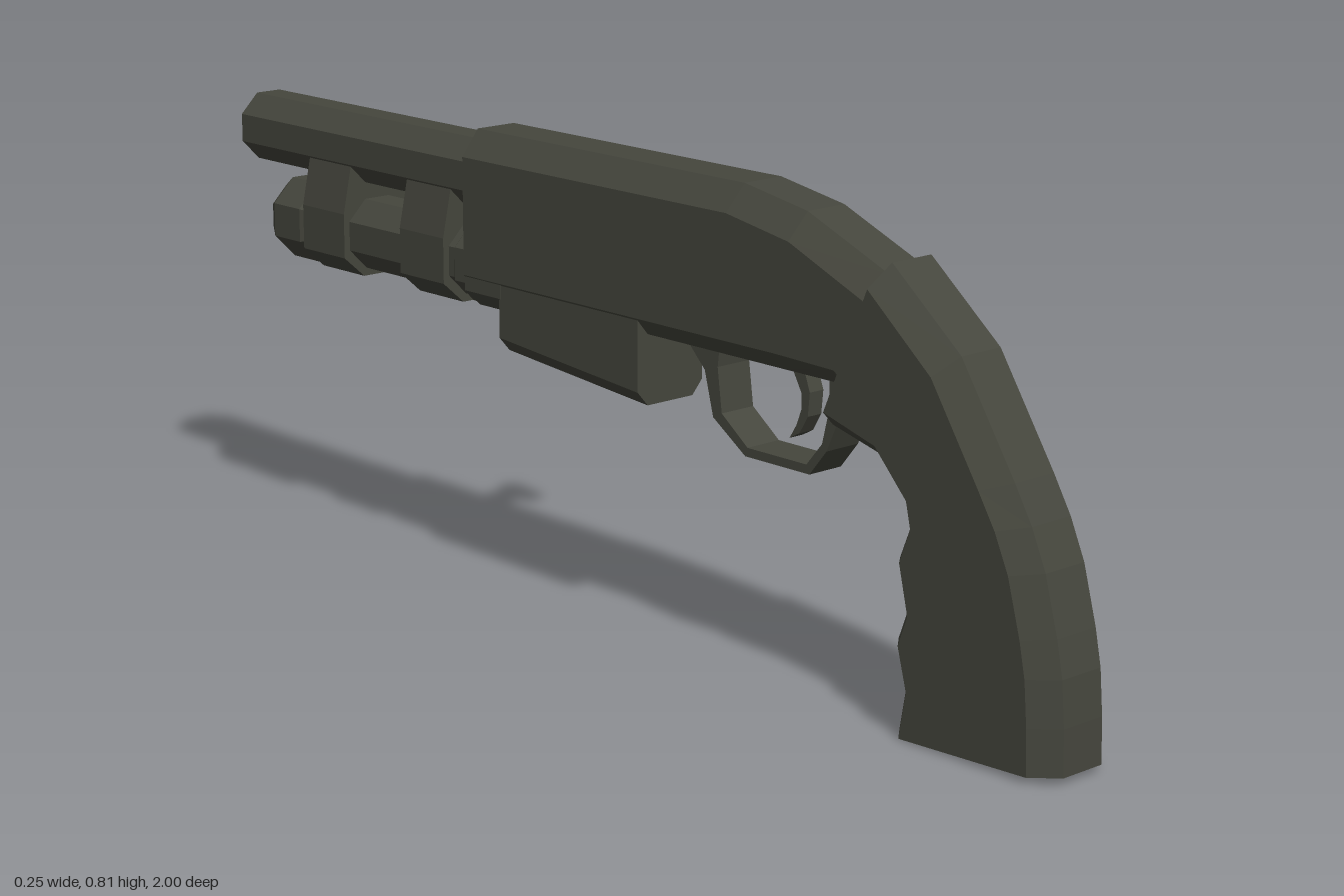
import * as THREE from 'three';

const darkMetal = new THREE.MeshStandardMaterial({ color: 0x45463d });
const CX = -0.045; // centre plane of the body

// Hard-edged normals for the faceted look
function flat(geo) {
  const g = geo.index ? geo.toNonIndexed() : geo;
  g.computeVertexNormals();
  return g;
}

// Skin a list of equal-sized convex rings and cap both ends
function loft(rings) {
  const tris = [], n = rings[0].length;
  for (let i = 0; i < rings.length - 1; i++) {
    for (let j = 0; j < n; j++) {
      const k = (j + 1) % n, a = rings[i], b = rings[i + 1];
      tris.push([a[j], a[k], b[k]], [a[j], b[k], b[j]]);
    }
  }
  const last = rings[rings.length - 1];
  for (let j = 1; j < n - 1; j++) {
    tris.push([rings[0][0], rings[0][j + 1], rings[0][j]], [last[0], last[j], last[j + 1]]);
  }
  // Signed volume decides whether faces must be turned outward
  const volume = tris.reduce((s, [a, b, c]) => s + a.dot(b.clone().cross(c)), 0);
  const pos = tris.flatMap(([a, b, c]) => (volume < 0 ? [a, c, b] : [a, b, c]).flatMap(p => p.toArray()));
  const g = new THREE.BufferGeometry();
  g.setAttribute('position', new THREE.Float32BufferAttribute(pos, 3));
  return flat(g);
}

// Chamfered eight-sided section running from a (back/top) to b (front/bottom), each [z, y]
function section([za, ya, zb, yb], halfW, flatA, cutA, flatB, cutB) {
  const A = new THREE.Vector2(za, ya), B = new THREE.Vector2(zb, yb);
  const len = A.distanceTo(B);
  const at = (x, d) => {
    const p = A.clone().lerp(B, d / len);
    return new THREE.Vector3(CX + x, p.y, p.x);
  };
  const right = [[flatA, 0], [halfW, cutA], [halfW, len - cutB], [flatB, len]];
  const left = right.map(([x, d]) => [-x, d]).reverse();
  return [...right, ...left].map(([x, d]) => at(x, d));
}

// Side outline of [z, y] points extruded across x
function sidePlate(points, width) {
  const shape = new THREE.Shape(points.map(([z, y]) => new THREE.Vector2(-z, y)));
  const g = new THREE.ExtrudeGeometry(shape, { depth: width, bevelEnabled: false });
  g.translate(0, 0, -width / 2).rotateY(Math.PI / 2).translate(CX, 0, 0);
  return flat(g);
}

// Octagonal turned part along -z; profile is [radius, distance]
function turned(profile, y, z) {
  const g = new THREE.LatheGeometry(profile.map(([r, d]) => new THREE.Vector2(r, d)), 8, Math.PI / 8);
  g.rotateX(-Math.PI / 2).translate(CX, y, z);
  return flat(g);
}

export function createModel() {
  const model = new THREE.Group();
  const add = (name, geo) => {
    const mesh = new THREE.Mesh(geo, darkMetal);
    mesh.name = name;
    model.add(mesh);
    return mesh;
  };

  // Curved grip with finger waves along its front edge
  const gripStations = [
    [0.633, 0.735, 0.515, 0.46],
    [0.778, 0.616, 0.617, 0.434],
    [0.89, 0.444, 0.676, 0.375],
    [0.925, 0.385, 0.685, 0.335],
    [0.954, 0.32, 0.663, 0.28],
    [0.98, 0.225, 0.682, 0.2],
    [0.992, 0.165, 0.663, 0.15],
    [0.998, 0.09, 0.682, 0.08],
    [1, 0.014, 0.668, 0.002],
  ];
  add('grip', loft(gripStations.map(s => section(s, 0.079, 0.043, 0.042, 0.045, 0.03))));

  // Receiver, bending down into the grip
  const receiverStations = [
    [-0.345, 0.81, -0.345, 0.53],
    [0.31, 0.81, 0.27, 0.53],
    [0.45, 0.786, 0.41, 0.53],
    [0.625, 0.715, 0.53, 0.53],
    [0.66, 0.69, 0.56, 0.51],
  ];
  add('receiver', loft(receiverStations.map(s => section(s, 0.075, 0.04, 0.045, 0.05, 0.03))));

  // Block under the receiver's nose
  add('receiverNose', loft([-0.25, -0.345].map(z =>
    section([z, 0.58, z, 0.503], 0.073, 0.073, 0.01, 0.04, 0.03))));

  // Loading box with a sloping bottom
  add('loadingBox', loft([[0.095, 0.41], [-0.255, 0.44]].map(([z, y]) =>
    section([z, 0.56, z, y], 0.072, 0.072, 0.01, 0.05, 0.025))));

  // Hollow barrel
  add('barrel', turned([[0, 0], [0.066, 0], [0.066, 0.665], [0.05, 0.665], [0.045, 0.54], [0, 0.54]], 0.728, -0.335));

  // Tube below the barrel with a rounded cap
  add('lowerTube', turned([[0, 0], [0.076, 0], [0.076, 0.035], [0.068, 0.045], [0.068, 0.46], [0, 0.46]], 0.574, -0.34));
  add('tubeCap', turned([[0, 0], [0.07, 0], [0.079, 0.015], [0.079, 0.09], [0.055, 0.125], [0, 0.125]], 0.574, -0.8));

  // Two clamps joining tube and barrel
  for (const z of [-0.4, -0.68]) {
    const half = [[0.032, 0.497], [0.075, 0.535], [0.075, 0.615], [0.056, 0.705]];
    const outline = [...half, ...half.map(([x, y]) => [-x, y]).reverse()];
    add('clamp', loft([z, z - 0.12].map(pz => outline.map(([x, y]) => new THREE.Vector3(CX + x, y, pz)))));
  }

  // Trigger guard loop
  add('triggerGuard', sidePlate([
    [0.54, 0.54], [0.515, 0.46], [0.492, 0.41], [0.455, 0.365], [0.31, 0.365], [0.235, 0.415],
    [0.215, 0.49], [0.18, 0.525], [0.18, 0.54], [0.25, 0.54], [0.245, 0.5], [0.255, 0.425],
    [0.315, 0.38], [0.448, 0.38], [0.482, 0.42], [0.497, 0.48], [0.497, 0.54],
  ], 0.07));

  // Curved trigger
  add('trigger', sidePlate([
    [0.385, 0.54], [0.415, 0.54], [0.434, 0.49], [0.43, 0.45], [0.412, 0.42], [0.39, 0.408],
    [0.405, 0.432], [0.416, 0.46], [0.416, 0.485],
  ], 0.03));

  // Handle on the left side
  const handle = (name, r, x0, x1) => {
    const g = new THREE.CylinderGeometry(r, r, x1 - x0, 8, 1, false, Math.PI / 8);
    g.rotateZ(-Math.PI / 2).translate((x0 + x1) / 2, 0.73, -0.168);
    add(name, flat(g));
  };
  handle('handleStem', 0.03, 0, 0.095);
  handle('handleKnob', 0.047, 0.091, 0.122);

  return model;
}
